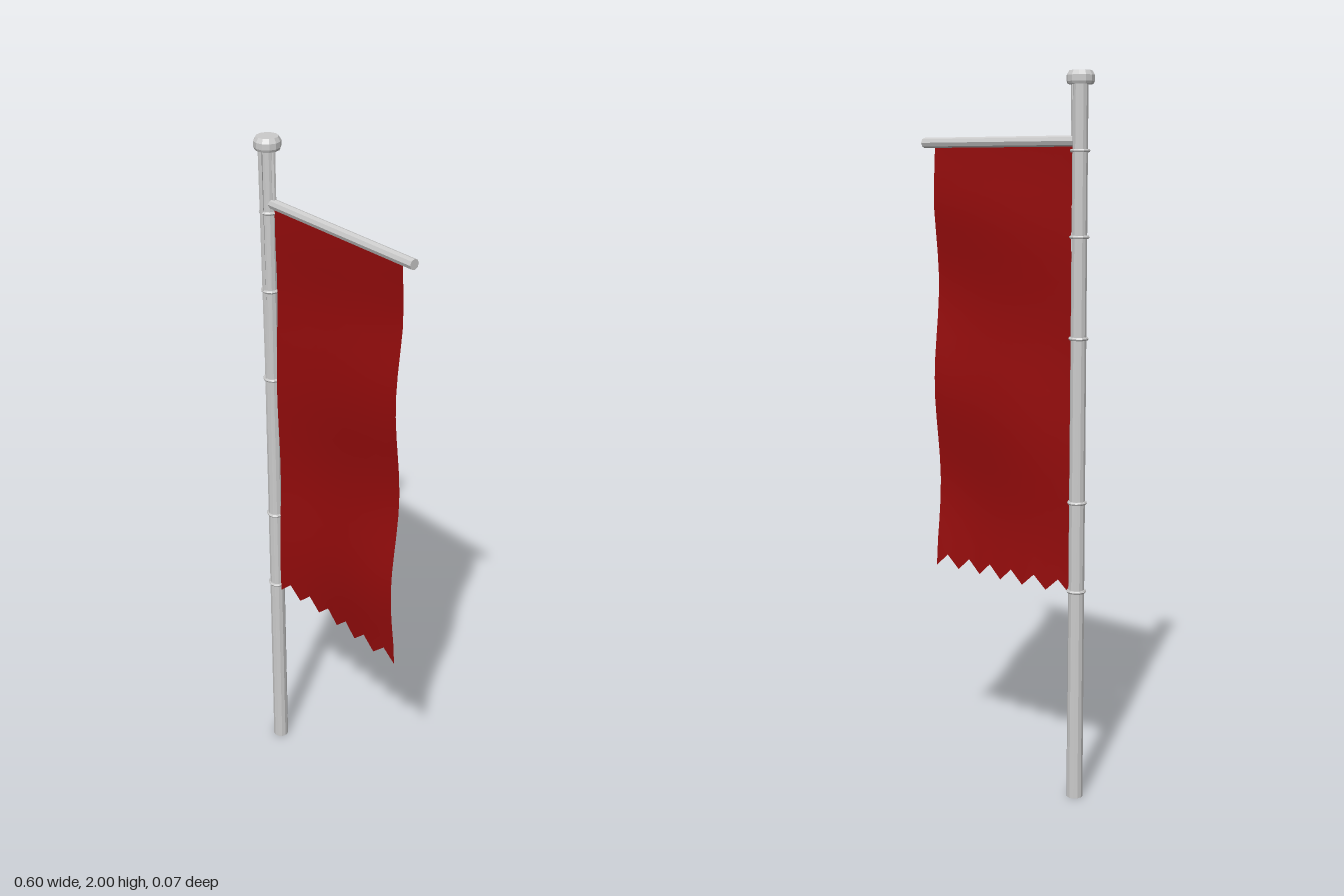
import * as THREE from 'three';

const POLE_X = -0.265;
const metal = new THREE.MeshStandardMaterial({ color: 0xcccccc, flatShading: true });
const cloth = new THREE.MeshStandardMaterial({ color: 0x960c0c, side: THREE.DoubleSide });

function add(group, name, geometry, material = metal) {
  const mesh = new THREE.Mesh(geometry, material);
  mesh.name = name;
  group.add(mesh);
  return mesh;
}

// Cloth sheet: rippled more towards the free edge, with a zigzag hem
function bannerGeometry() {
  const teeth = 6, rows = 20;
  const left = -0.24, width = 0.5, top = 1.815;
  const geo = new THREE.PlaneGeometry(1, 1, teeth * 2, rows);
  const pos = geo.attributes.position;
  for (let i = 0; i < pos.count; i++) {
    const u = pos.getX(i) + 0.5;
    const v = 0.5 - pos.getY(i);
    const column = Math.round(u * teeth * 2);
    const hem = column % 2 ? 0.62 : 0.583;
    const bottom = v > 0.99 ? hem : 0.6;
    const y = top + (bottom - top) * v;
    const ripple = 0.011 * Math.sin(v * 13 + u * 1.5 + 2.2) * (0.35 + 0.65 * u);
    const drape = 0.006 * Math.sin(u * Math.PI * 2 + 2.6) * v;
    pos.setXYZ(i, left + u * width, y, (ripple + drape) * Math.min(1, v * 6));
  }
  geo.computeVertexNormals();
  return geo;
}

export function createModel() {
  const model = new THREE.Group();
  model.name = 'bannerPole';

  // Upright pole, slightly tapered
  add(model, 'pole', new THREE.CylinderGeometry(0.0205, 0.023, 1.98, 12))
    .position.set(POLE_X, 0.99, 0);

  // Bevelled cap
  const capProfile = [[0, 1.965], [0.034, 1.965], [0.037, 1.972], [0.037, 1.988], [0.03, 2], [0, 2]]
    .map(([r, y]) => new THREE.Vector2(r, y));
  add(model, 'cap', new THREE.LatheGeometry(capProfile, 12)).position.x = POLE_X;

  // Collars holding the cloth edge
  for (const y of [1.795, 1.57, 1.3, 0.85, 0.6]) {
    const ring = add(model, 'collar', new THREE.TorusGeometry(0.0225, 0.005, 6, 12));
    ring.rotation.x = Math.PI / 2;
    ring.position.set(POLE_X, y, 0);
  }

  // Horizontal arm
  const arm = add(model, 'arm', new THREE.CylinderGeometry(0.0145, 0.0145, 0.555, 8));
  arm.rotation.z = Math.PI / 2;
  arm.position.set(0.0235, 1.82, 0);

  // Halyard cords running down from the cap
  const cords = [
    [[POLE_X + 0.024, 1.97, 0], [POLE_X + 0.024, 1.82, 0]],
    [[POLE_X, 1.97, 0.025], [POLE_X - 0.002, 1.07, 0.015]],
  ];
  for (const [from, to] of cords) {
    const path = new THREE.LineCurve3(new THREE.Vector3(...from), new THREE.Vector3(...to));
    add(model, 'cord', new THREE.TubeGeometry(path, 1, 0.006, 6));
  }

  add(model, 'banner', bannerGeometry(), cloth);
  return model;
}
